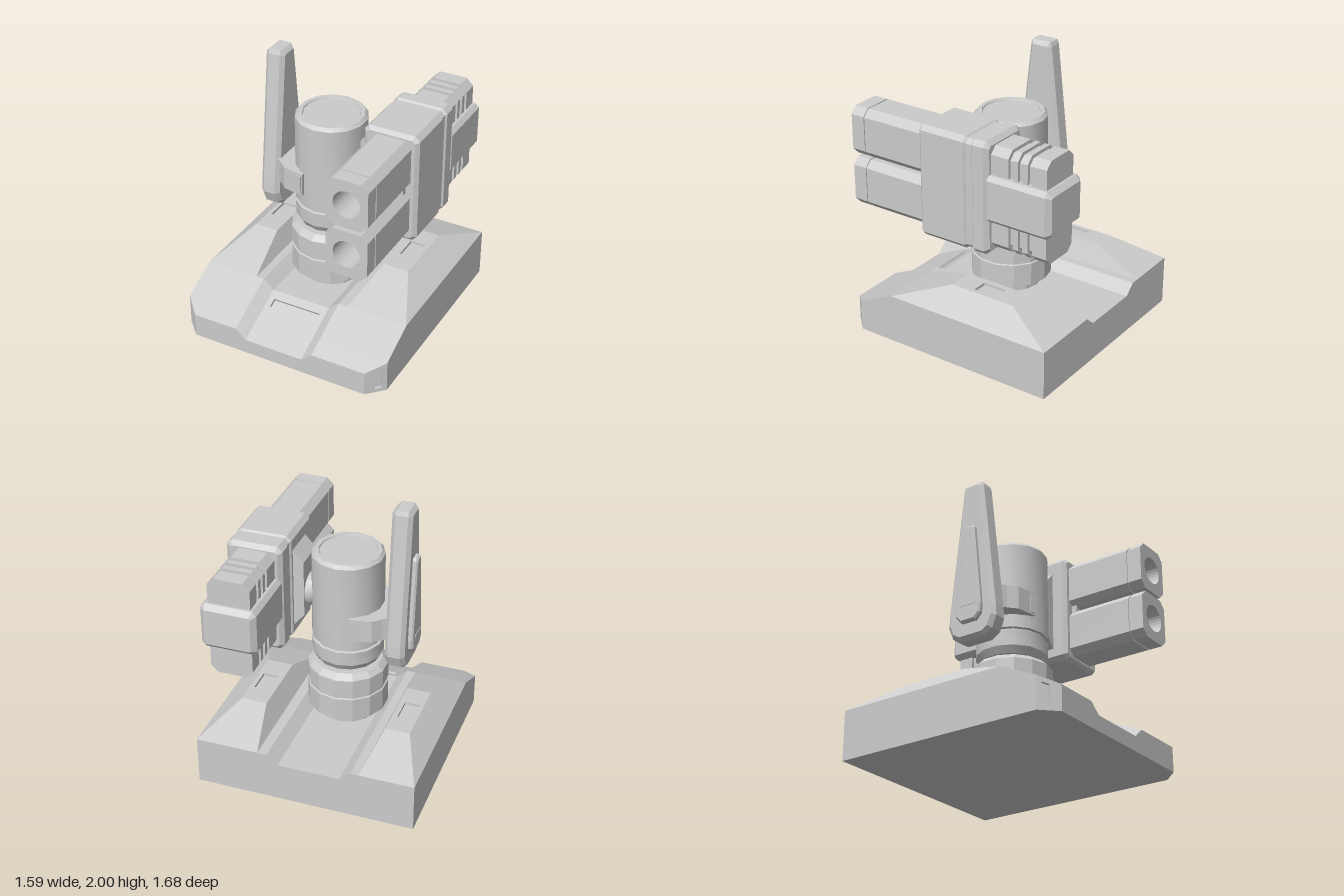
import * as THREE from 'three';
import { toCreasedNormals } from 'three/addons/utils/BufferGeometryUtils.js';

const flat = new THREE.MeshStandardMaterial({ color: 0xcccccc, flatShading: true });
const smooth = new THREE.MeshStandardMaterial({ color: 0xcccccc });

function add(parent, name, geometry, material = flat) {
  const mesh = new THREE.Mesh(geometry, material);
  mesh.name = name;
  parent.add(mesh);
  return mesh;
}

const polygon = (pts) => new THREE.Shape(pts.map(([x, y]) => new THREE.Vector2(x, y)));

// Extrusion from z = 0 to depth whose bevel stays inside the outline
function extrude(shape, depth, bevel = 0) {
  return new THREE.ExtrudeGeometry(shape, {
    depth: depth - 2 * bevel, bevelEnabled: bevel > 0, bevelThickness: bevel,
    bevelSize: bevel, bevelOffset: -bevel, bevelSegments: 1, curveSegments: 16,
  }).translate(0, 0, bevel);
}

// Rectangle with cut corners
function cutRect(cx, cy, w, h, c) {
  const a = w / 2, b = h / 2;
  return polygon([[-a + c, -b], [a - c, -b], [a, -b + c], [a, b - c], [a - c, b], [-a + c, b], [-a, b - c], [-a, -b + c]]
    .map(([x, y]) => [cx + x, cy + y]));
}

// Bar along z with a cut-corner section
function bar(parent, name, [cx, cy, w, h, c], z0, z1, bevel = 0, bore = 0) {
  const shape = cutRect(cx, cy, w, h, c);
  if (bore) shape.holes.push(new THREE.Path().absarc(cx, cy, bore, 0, Math.PI * 2, true));
  return add(parent, name, extrude(shape, z1 - z0, bevel).translate(0, 0, z0));
}

// One deck cross-section: raised (0 or 1) lifts the two side ridges
function deckSection(z, half, y, raised) {
  const top = y + 0.14 * raised;
  const mix = (low, high) => low + (high - low) * raised;
  return [
    [-half, 0], [-half, y], [mix(-half, -0.64), top], [mix(-0.4, -0.46), top], [-0.4, y],
    [-0.34, y], [-0.26, y - 0.07], [0.19, y - 0.07], [0.27, y], [0.34, y],
    [mix(0.34, 0.42), top], [mix(half, 0.61), top], [half, y], [half, 0],
  ].map(([x, h]) => new THREE.Vector3(x, h, z));
}

function baseGeometry() {
  const sections = [
    deckSection(-0.84, 0.795, 0.36, 0), deckSection(-0.46, 0.795, 0.36, 1),
    deckSection(0.05, 0.795, 0.36, 1), deckSection(0.45, 0.795, 0.36, 0),
    deckSection(0.73, 0.795, 0.234, 0), deckSection(0.845, 0.68, 0.18, 0),
  ];
  const n = sections[0].length;
  const pos = [];
  const quad = (a, b, c, d) => {
    for (const [p, q, r] of [[a, b, c], [a, c, d]]) {
      if (p.distanceTo(q) > 1e-5 && q.distanceTo(r) > 1e-5 && r.distanceTo(p) > 1e-5) {
        for (const v of [p, q, r]) pos.push(v.x, v.y, v.z);
      }
    }
  };
  // Panel with a sunken rectangular pocket, u along a-b and v along a-d
  const pocket = ([a, b, c, d], [u0, u1, v0, v1], depth) => {
    const at = (u, v) => a.clone().lerp(b, u).lerp(d.clone().lerp(c, u), v);
    const outer = [a, b, c, d];
    const rim = [at(u0, v0), at(u1, v0), at(u1, v1), at(u0, v1)];
    const inward = b.clone().sub(a).cross(d.clone().sub(a)).normalize().multiplyScalar(-depth);
    const floor = rim.map((p) => p.clone().add(inward));
    for (let i = 0; i < 4; i++) {
      const k = (i + 1) % 4;
      quad(outer[i], outer[k], rim[k], rim[i]);
      quad(rim[i], rim[k], floor[k], floor[i]);
    }
    quad(...floor);
  };
  // Pockets by "section,edge": ridge tops, channel slot, front corner slots
  const pockets = {
    '1,2': [0.31, 0.67, 0.17, 0.78], '1,10': [0.31, 0.67, 0.22, 0.83],
    '3,6': [0.21, 0.43, 0.09, 0.91],
    '4,0': [0.22, 0.52, 0.14, 0.85], '4,12': [0.22, 0.52, 0.15, 0.86],
  };
  for (let j = 0; j < sections.length - 1; j++) {
    for (let i = 0; i < n; i++) {
      const k = (i + 1) % n;
      const face = [sections[j][i], sections[j + 1][i], sections[j + 1][k], sections[j][k]];
      const hole = pockets[`${j},${i}`];
      if (hole) pocket(face, hole, 0.02);
      else quad(...face);
    }
  }
  // End walls
  const ground = (p) => new THREE.Vector3(p.x, 0, p.z);
  const back = sections[0], front = sections[sections.length - 1];
  for (let i = 0; i < n - 1; i++) {
    quad(ground(front[i]), ground(front[i + 1]), front[i + 1], front[i]);
    quad(back[i], back[i + 1], ground(back[i + 1]), ground(back[i]));
  }
  const g = new THREE.BufferGeometry();
  g.setAttribute('position', new THREE.Float32BufferAttribute(pos, 3));
  g.computeVertexNormals();
  return g;
}

const lathe = (pts) => new THREE.LatheGeometry(pts.map(([r, y]) => new THREE.Vector2(r, y)), 14);

export function createModel() {
  const model = new THREE.Group();
  model.name = 'turret';
  add(model, 'base', baseGeometry());

  // Central column
  const column = new THREE.Group();
  column.name = 'column';
  column.position.set(-0.03, 0, 0);
  model.add(column);
  add(column, 'collar', lathe([
    [0.22, 0.27], [0.22, 0.32], [0.29, 0.36], [0.29, 0.53], [0.28, 0.535], [0.28, 0.565],
    [0.29, 0.57], [0.29, 0.69], [0.25, 0.73], [0, 0.73],
  ]));
  add(column, 'swivelDrum', toCreasedNormals(lathe([
    [0.19, 0.71], [0.19, 0.735], [0.225, 0.75], [0.255, 0.8], [0.257, 0.905], [0.238, 0.91],
    [0.238, 0.93], [0.257, 0.935], [0.257, 1.575], [0.235, 1.6], [0.205, 1.6], [0.2, 1.588], [0, 1.588],
  ]), 0.5), smooth);

  // Clamp joining the column and the side panel
  const clamp = (name, pts, y0, y1) => {
    const half = pts.map(([x, z]) => [x, -z]);
    const mirrored = pts.slice().reverse();
    add(model, name, extrude(polygon([...half, ...mirrored]), y1 - y0).rotateX(-Math.PI / 2).translate(0, y0, 0));
  };
  clamp('panelClamp', [[-0.39, 0.15], [-0.34, 0.18], [-0.28, 0.235], [-0.17, 0.255]], 1.03, 1.2);
  clamp('clampTip', [[-0.2, 0.25], [-0.12, 0.265]], 1.03, 1.2);
  clamp('clampPad', [[-0.17, 0.26], [-0.13, 0.272]], 1.045, 1.185);

  // Upright side panel with a thinner outer plate
  const panel = (name, pts, x, thickness, bevel) => {
    const outline = [...pts, ...pts.slice().reverse().map(([z, y]) => [-z, y])];
    add(model, name, extrude(polygon(outline), thickness, bevel).rotateY(-Math.PI / 2).translate(x, 0, -0.007));
  };
  panel('sidePanel', [[0.1, 0.79], [0.165, 0.83], [0.2, 0.92], [0.195, 1.0], [0.085, 1.97], [0.072, 2.0]], -0.36, 0.145, 0.028);
  panel('outerPlate', [[0.06, 0.905], [0.1, 0.95], [0.105, 1.02], [0.045, 1.62], [0.03, 1.64]], -0.49, 0.05, 0.012);
  panel('plateRidge', [[0.06, 1.02], [0.06, 1.04]], -0.53, 0.014, 0);

  // Gun assembly on the left of the column
  const gun = new THREE.Group();
  gun.name = 'gun';
  model.add(gun);
  const pivot = toCreasedNormals(new THREE.LatheGeometry([
    [0, 0], [0.11, 0], [0.12, 0.03], [0.12, 0.08], [0.09, 0.11], [0, 0.11],
  ].map(([r, y]) => new THREE.Vector2(r, y)), 16), 0.5);
  add(gun, 'pivot', pivot.rotateZ(-Math.PI / 2).translate(0.19, 1.24, -0.005), smooth);
  add(gun, 'mountPad', extrude(polygon([[0.34, 0.97], [0.34, 1.6], [0.25, 1.5], [0.25, 1.08]]), 0.24).translate(0, 0, -0.13));

  const housing = [0.53, 1.295, 0.405, 0.815, 0.035];
  bar(gun, 'frontHousing', housing, -0.175, 0.22, 0.025);
  bar(gun, 'housingSeam', [0.53, 1.295, 0.38, 0.79, 0.03], -0.23, -0.12);
  bar(gun, 'rearHousing', housing, -0.34, -0.195, 0.03);
  bar(gun, 'breech', [0.53, 1.305, 0.4, 0.335, 0.03], -0.82, -0.3, 0.035);
  bar(gun, 'barrelSpacer', [0.53, 1.295, 0.24, 0.08, 0.01], 0.2, 0.26);

  for (const y of [1.485, 1.105]) {
    const section = [0.53, y, 0.305, 0.355, 0.05];
    const inner = [0.53, y, 0.26, 0.31, 0.045];
    // Bored barrel with a shallow ring seam near the muzzle
    bar(gun, 'barrel', section, 0.2, 0.715, 0, 0.1);
    bar(gun, 'barrelSeam', [0.53, y, 0.29, 0.34, 0.045], 0.71, 0.73, 0, 0.1);
    bar(gun, 'muzzle', section, 0.725, 0.83, 0, 0.1);
    // Ribbed rear block
    bar(gun, 'rearCore', inner, -0.7, -0.3);
    for (const [z0, z1] of [[-0.475, -0.32], [-0.55, -0.51], [-0.625, -0.585], [-0.77, -0.66]]) {
      bar(gun, 'rearRib', section, z0, z1);
    }
  }
  return model;
}
